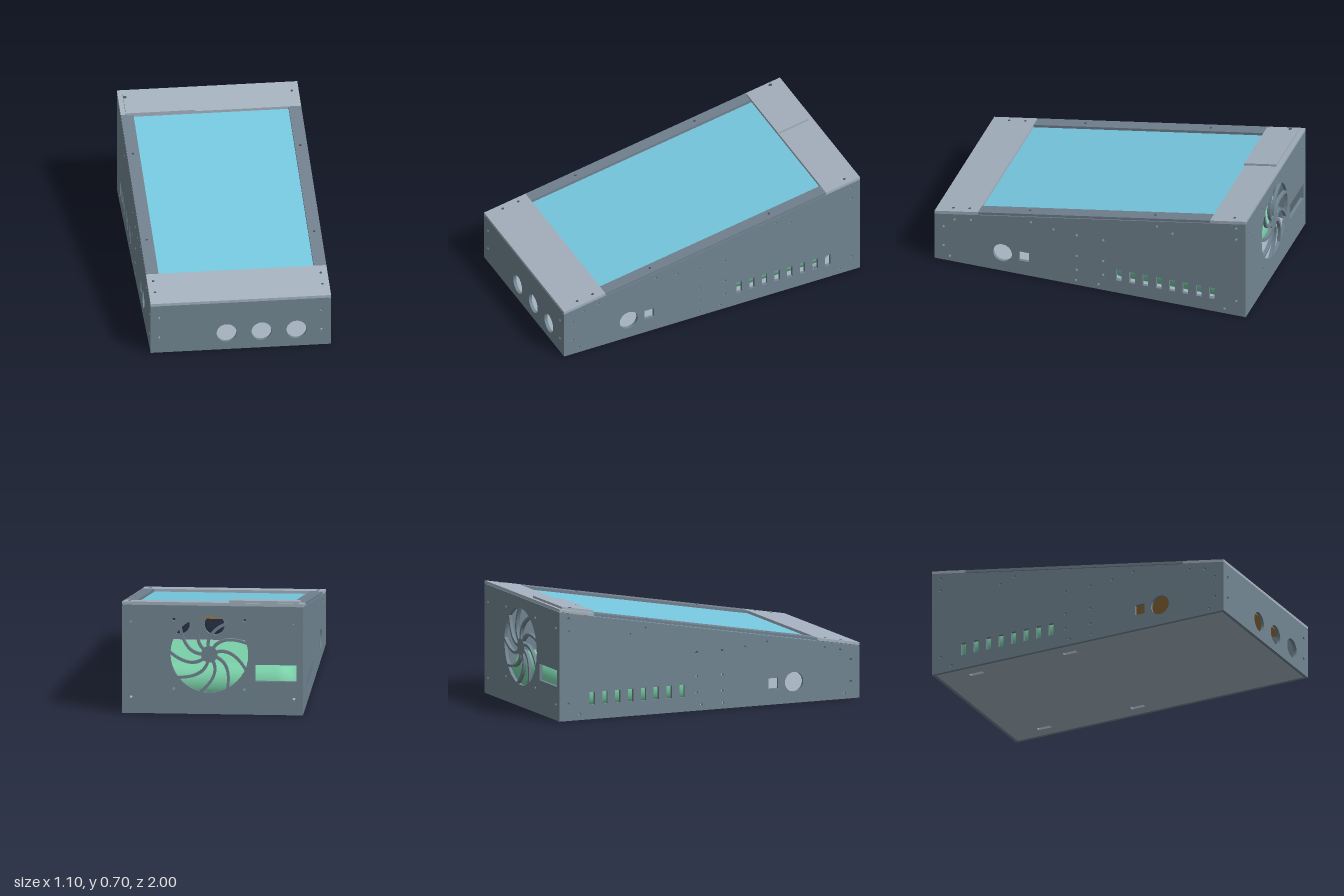
import * as THREE from 'three';
import { RoundedBoxGeometry } from 'three/addons/geometries/RoundedBoxGeometry.js';

const mat = (name, color) => new THREE.MeshStandardMaterial({ name, color });

const W = 0.55, L = 1, T = 0.02;          // half width, half length, wall thickness
const SLOPE = 0.176;
const lidY = z => 0.34 + (L - z) * SLOPE; // height of the sloping top surface

// Outline and cut-out helpers
const outline = pts => new THREE.Shape(pts.map(p => new THREE.Vector2(...p)));
const rect = (x0, y0, x1, y1) => outline([[x0, y0], [x1, y0], [x1, y1], [x0, y1]]);
function disc(x, y, r) {
  const s = new THREE.Shape();
  s.absarc(x, y, r, 0, Math.PI * 2, false);
  return s;
}

export function createModel() {
  const root = new THREE.Group();
  root.name = 'slopedConsole';

  const wall = mat('wallGrey', 0x728692);
  const lid = mat('lidGrey', 0xa5b2bf);
  const rail = mat('railGrey', 0x738290);
  const glass = mat('screenBlue', 0x77c9e1);
  const green = mat('packGreen', 0x7ad0a8);
  const brown = mat('boardBrown', 0xa87c40);
  const dark = mat('screwDark', 0x4a545d);

  function add(name, geometry, material, parent = root) {
    const m = new THREE.Mesh(geometry, material);
    m.name = name;
    parent.add(m);
    return m;
  }
  function panel(name, shape, holes, material) {
    shape.holes.push(...holes);
    return add(name, new THREE.ExtrudeGeometry(shape,
      { depth: T, bevelEnabled: false, curveSegments: 20 }), material);
  }
  // Box sheared to follow the slope, its top raised by "rise" over the lid surface
  function slab(name, x0, x1, z0, z1, rise, thick, material) {
    const g = new THREE.BoxGeometry(x1 - x0, thick, z1 - z0);
    g.translate((x0 + x1) / 2, rise - thick / 2, (z0 + z1) / 2);
    const p = g.attributes.position;
    for (let i = 0; i < p.count; i++) p.setY(i, p.getY(i) + lidY(p.getZ(i)));
    g.computeVertexNormals();
    return add(name, g, material);
  }

  // Side walls, drawn in (-z, y): two halves meeting at a notched joint
  const sideScrews = [[0.94, 0.24], [0.94, 0.105], [0.9, 0.035], [0.87, 0.305], [0.765, 0.325],
    [0.38, 0.39], [0.235, 0.37], [0.085, 0.36], [0.085, 0.21], [0.085, 0.11], [0.09, 0.035],
    [-0.085, 0.36], [-0.085, 0.21], [-0.085, 0.11], [-0.055, 0.035], [-0.43, 0.535],
    [-0.53, 0.505], [-0.94, 0.63], [-0.94, 0.55], [-0.94, 0.105], [-0.865, 0.035]];
  const wallTop = z => lidY(z) - 0.021;
  const joint = [[0, 0], [0, 0.3], [0.025, 0.3], [0.025, 0.335], [0, 0.335], [0, wallTop(0)]];
  for (const side of [-1, 1]) {
    for (const end of [-1, 1]) {          // -1 is the front half, 1 the back half
      const holes = sideScrews.filter(([z]) => z * end < 0).map(([z, y]) => disc(-z, y, 0.008));
      if (end < 0) holes.push(disc(-0.563, 0.13, 0.061), rect(-0.457, 0.098, -0.392, 0.163));
      else for (let i = 0; i < 8; i++) {
        const u = 0.166 + i * 0.0855;
        holes.push(rect(u, 0.088, u + 0.036, 0.167));
      }
      const shape = outline([...joint, [end * L, wallTop(-end * L)], [end * L, 0]]);
      const w = panel((side > 0 ? 'left' : 'right') + (end < 0 ? 'FrontWall' : 'BackWall'), shape, holes, wall);
      w.rotation.y = Math.PI / 2;
      w.position.x = side > 0 ? W - T : -W;
    }
  }

  // Front wall with three button holes
  const fx = W - T;
  const frontHoles = [-0.087, 0.126, 0.339].map(x => disc(x, 0.112, 0.061));
  for (const x of [-0.495, 0.493]) for (const y of [0.103, 0.24]) frontHoles.push(disc(x, y, 0.009));
  panel('frontWall', rect(-fx, 0, fx, 0.3225), frontHoles, wall).position.z = L - T;

  // Back wall with fan opening and connector slot
  const FX = 0.02, FY = 0.37, FR = 0.237;
  const backHoles = [disc(FX, FY, FR), rect(-0.51, 0.208, -0.26, 0.31)];
  for (const s of [-1, 1]) {
    for (const y of [0.1, 0.57]) backHoles.push(disc(s * 0.495, y, 0.009));
    for (const t of [-1, 1]) backHoles.push(disc(FX + s * 0.215, FY + t * 0.215, 0.009));
  }
  panel('backWall', rect(-fx, 0, fx, 0.672), backHoles, wall).position.z = -L;

  // Fan grille: hub and swept spokes
  const grille = new THREE.Group();
  grille.name = 'fanGrille';
  grille.position.set(FX, FY, -L);
  root.add(grille);
  const grilleOpts = { depth: T, bevelEnabled: false, curveSegments: 16 };
  add('fanHub', new THREE.ExtrudeGeometry(disc(0, 0, 0.05), grilleOpts), wall, grille);
  const spoke = new THREE.Shape();
  const at = (r, a) => [r * Math.cos(a), r * Math.sin(a)];
  spoke.moveTo(...at(0.04, -0.2));
  spoke.quadraticCurveTo(...at(0.15, -0.05), ...at(FR + 0.003, 0.7));
  spoke.lineTo(...at(FR + 0.003, 0.79));
  spoke.quadraticCurveTo(...at(0.145, 0.09), ...at(0.04, 0.25));
  const spokeGeo = new THREE.ExtrudeGeometry(spoke, grilleOpts);
  for (let i = 0; i < 9; i++) add('fanSpoke', spokeGeo, wall, grille).rotation.z = i * Math.PI * 2 / 9;

  // Base plate in two halves with four slots, drawn in (x, -z)
  const slot = (x, z) => rect(x - 0.014, -z - 0.045, x + 0.014, -z + 0.045);
  const backSlots = [];
  for (const x of [-0.44, 0.44]) for (const z of [-0.75, -0.11]) backSlots.push(slot(x, z));
  panel('frontBase', rect(-fx, -L + T, fx, 0), [], lid).rotation.x = -Math.PI / 2;
  panel('backBase', rect(-fx, 0, fx, L - T), backSlots, lid).rotation.x = -Math.PI / 2;

  // Sloping top: end plates, side rails and recessed screen
  const Z0 = -0.77, Z1 = 0.72, SX = 0.473;
  slab('frontTopPlate', -W, W, Z1, L, 0, 0.017, lid);
  slab('backTopPlate', -W, W, -L, Z0, 0, 0.017, lid);
  for (const s of [-1, 1])
    slab('sideRail', Math.min(s * SX, s * W), Math.max(s * SX, s * W), Z0, Z1, 0, 0.017, rail);
  slab('screen', -SX - 0.02, SX + 0.02, Z0 - 0.02, Z1 + 0.02, -0.0175, 0.012, glass);

  // Raised cover on the back plate with a finger tab
  slab('cover', -0.52, -0.097, -0.97, -0.763, 0.014, 0.014, lid);
  const tilt = Math.atan(SLOPE);
  function dot(name, x, z, rise, r, material, start = 0, sweep = Math.PI * 2) {
    const g = new THREE.CylinderGeometry(r, r, 0.003, 16, 1, false, start, sweep);
    const m = add(name, g, material);
    m.position.set(x, lidY(z) + rise, z);
    m.rotation.x = tilt;
  }
  dot('coverScrew', -0.51, -0.915, 0.014, 0.011, dark);
  dot('fingerTab', -0.307, -0.764, 0.014, 0.022, lid, Math.PI / 2, Math.PI);

  // Top screws
  for (const x of [-0.513, 0.508]) for (const z of [-0.915, -0.405, 0.4, 0.787, 0.892])
    if (x > 0 || z > -0.9) dot('topScrew', x, z, 0, 0.008, dark);

  // Inside: rounded power pack on the floor and circuit board under the screen
  add('powerPack', new RoundedBoxGeometry(1.0, 0.24, 0.82, 6, 0.119), green).position.set(0, 0.15, -0.47);
  slab('circuitBoard', -0.42, 0.42, -0.74, 0.9, -0.065, 0.047, brown);

  return root;
}
